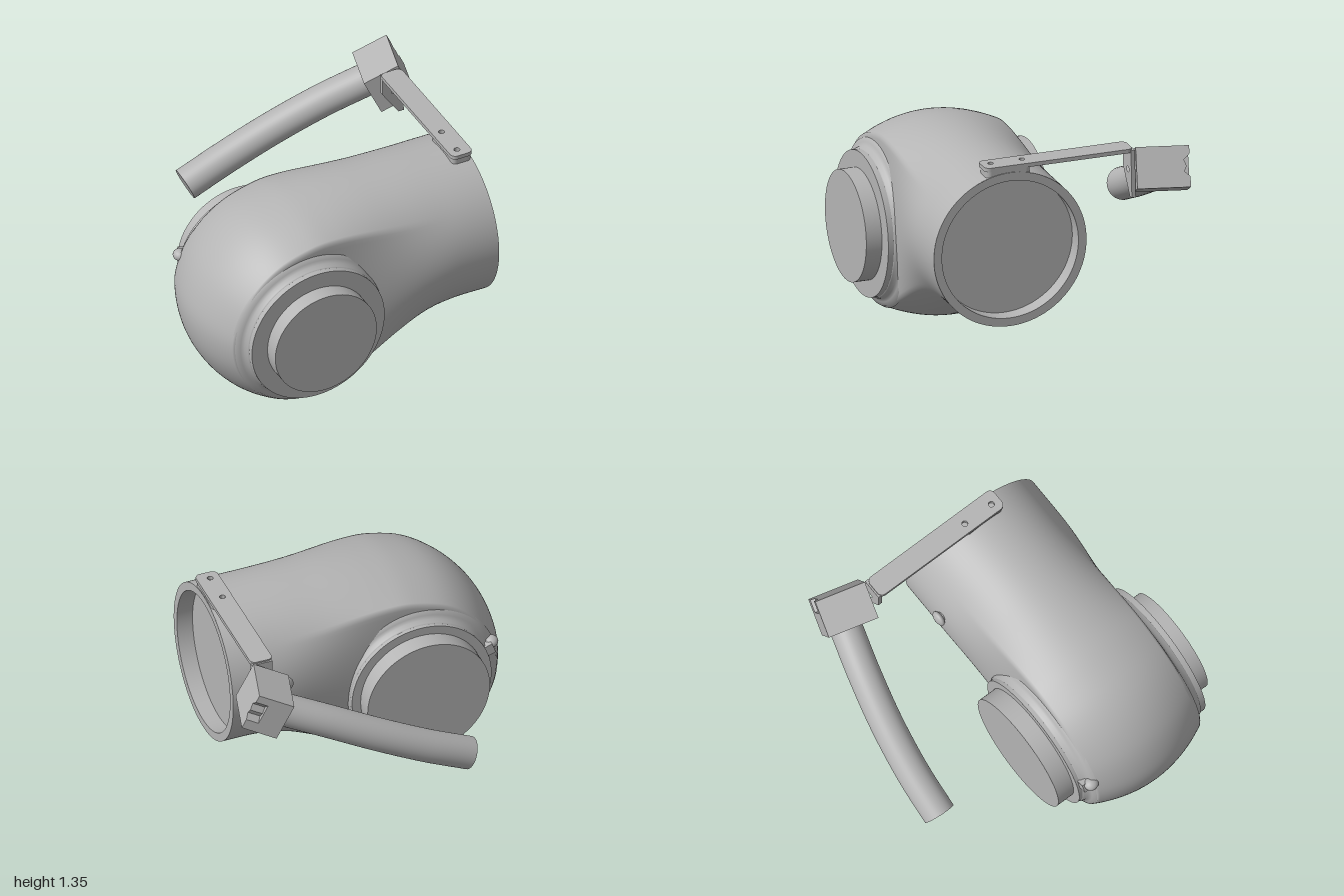
import * as THREE from 'three';
import { mergeVertices } from 'three/addons/utils/BufferGeometryUtils.js';

const MID_Z = 0.355, HEAD = [-0.39, 0.615];

export function createModel() {
  const group = new THREE.Group();
  const grey = new THREE.MeshStandardMaterial({ color: 0xb4b4b4 });
  grey.name = 'grey';
  const add = (name, geometry, x = 0, y = 0, z = 0, parent = group) => {
    const mesh = new THREE.Mesh(geometry, grey);
    mesh.name = name;
    mesh.position.set(x, y, z);
    parent.add(mesh);
    return mesh;
  };

  add('elbowBody', bodyGeometry());

  // Open pipe mouth: rim, inner wall and recessed cover
  const mouth = new THREE.Group();
  mouth.name = 'pipeMouth';
  mouth.position.set(0.82, 0.8125, MID_Z);
  mouth.rotation.y = Math.PI / 2;
  group.add(mouth);
  add('mouthRim', new THREE.RingGeometry(0.435, 0.487, 96), 0, 0, 0, mouth);
  const wall = new THREE.LatheGeometry([new THREE.Vector2(0.435, 0), new THREE.Vector2(0.435, -0.1)], 96);
  wall.rotateX(Math.PI / 2);
  add('mouthWall', wall, 0, 0, 0, mouth);
  add('mouthCover', new THREE.CircleGeometry(0.435, 96), 0, 0, -0.1, mouth);

  // Stepped side ports, front and back
  for (const [side, hubRadius, hubEnd, collarEnd] of [['front', 0.34, 0.58, 0.48], ['back', 0.39, 0.585, 0.47]]) {
    const port = new THREE.Group();
    port.name = side + 'Port';
    port.position.set(HEAD[0], HEAD[1], MID_Z);
    port.rotation.x = side === 'front' ? Math.PI / 2 : -Math.PI / 2;
    group.add(port);
    const flare = [[0.52, 0.37], [0.505, 0.395], [0.48, 0.402], [0.46, 0.415], [0.452, 0.44], [0.445, 0.445]];
    add('flare', new THREE.LatheGeometry(flare.map(p => new THREE.Vector2(...p)), 96), 0, 0, 0, port);
    add('collar', new THREE.CylinderGeometry(0.445, 0.445, 0.18, 96), 0, collarEnd - 0.09, 0, port);
    add('hub', new THREE.CylinderGeometry(hubRadius, hubRadius, 0.16, 96), 0, hubEnd - 0.08, 0, port);
  }

  // Bracket strap with two bolt holes, on a raised pad
  const strap = roundedRect(0.68, -0.43, 0.82, 0.51, 0.035);
  for (const z of [0.25, 0.45]) {
    strap.holes.push(new THREE.Path().absarc(0.74, z, 0.018, 0, Math.PI * 2, true));
  }
  const lay = (shape, depth) =>
    new THREE.ExtrudeGeometry(shape, { depth, bevelEnabled: false, curveSegments: 10 }).rotateX(Math.PI / 2);
  add('bracketStrap', lay(strap, 0.025), 0, 1.345, 0);
  add('bracketPad', lay(roundedRect(0.685, 0.22, 0.815, 0.5, 0.03), 0.06), 0, 1.32, 0);

  // Bent-down flange of the bracket
  const flange = new THREE.Shape([[0.69, 1.335], [0.82, 1.335], [0.835, 1.04], [0.8, 1.04], [0.69, 1.2]]
    .map(p => new THREE.Vector2(...p)));
  flange.holes.push(new THREE.Path().absarc(0.77, 1.2, 0.018, 0, Math.PI * 2, true));
  add('bracketFlange', new THREE.ExtrudeGeometry(flange, { depth: 0.025, bevelEnabled: false }), 0, 0, -0.44);

  // Tilted clamp block with a notched outer jaw
  const clamp = new THREE.Group();
  clamp.name = 'clamp';
  clamp.position.set(0.805, 1.188, -0.615);
  clamp.rotation.set(0, -0.26, 0.44);
  group.add(clamp);
  add('clampBlock', new THREE.BoxGeometry(0.15, 0.25, 0.32), -0.04, 0, 0, clamp);
  const jaw = new THREE.Shape([
    [-0.16, -0.125], [0.16, -0.125], [0.16, -0.06], [0.125, -0.03], [0.14, 0],
    [0.125, 0.04], [0.16, 0.075], [0.16, 0.125], [-0.16, 0.125],
  ].map(p => new THREE.Vector2(...p)));
  const jawGeometry = new THREE.ExtrudeGeometry(jaw, { depth: 0.08, bevelEnabled: false }).rotateY(Math.PI / 2);
  add('clampJaw', jawGeometry, 0.035, 0, 0, clamp);

  // Curved handle with flat end
  const path = new THREE.CatmullRomCurve3([
    [0.72, 1.145, -0.665], [0.45, 1.03, -0.735], [0.15, 0.89, -0.795], [-0.15, 0.75, -0.83], [-0.41, 0.635, -0.84],
  ].map(p => new THREE.Vector3(...p)));
  add('handle', new THREE.TubeGeometry(path, 48, 0.1, 40));
  const end = path.getPoint(1);
  const cap = add('handleEnd', new THREE.CircleGeometry(0.1, 40), end.x, end.y, end.z);
  cap.lookAt(end.clone().add(path.getTangent(1)));

  // Small fittings on the back: rounded screw and latch
  const screw = add('screwHead', new THREE.SphereGeometry(0.05, 24, 16), 0.49, 0.9, -0.142);
  screw.scale.z = 0.5;
  add('screwShank', new THREE.CylinderGeometry(0.03, 0.03, 0.06, 20).rotateX(Math.PI / 2), 0.49, 0.9, -0.11);
  const latch = add('latch', new THREE.BoxGeometry(0.1, 0.07, 0.08), -0.81, 0.76, -0.06);
  latch.rotation.z = -0.35;
  const latchTip = add('latchTip', new THREE.SphereGeometry(0.035, 20, 12), -0.86, 0.79, -0.045);
  latchTip.scale.set(1.2, 1, 1.3);

  return group;
}

function roundedRect(x0, y0, x1, y1, r) {
  const s = new THREE.Shape();
  s.absarc(x1 - r, y0 + r, r, -Math.PI / 2, 0);
  s.absarc(x1 - r, y1 - r, r, 0, Math.PI / 2);
  s.absarc(x0 + r, y1 - r, r, Math.PI / 2, Math.PI);
  s.absarc(x0 + r, y0 + r, r, Math.PI, Math.PI * 1.5);
  return s;
}

// Side outline swept through the depth: a round pipe blending into a barrel-edged head
function bodyGeometry() {
  const xs = [0.82, 0.6, 0.4, 0.2, 0, -0.2, -0.39];
  const top = [1.3, 1.303, 1.306, 1.306, 1.305, 1.295, 1.27];
  const low = [0.325, 0.325, 0.29, 0.21, 0.12, 0.04, 0.005];
  const arc = [[-0.6, 1.205], [-0.76, 1.1], [-0.89, 0.95], [-0.97, 0.78], [-1, 0.615],
    [-0.97, 0.43], [-0.88, 0.255], [-0.75, 0.12], [-0.58, 0.035]];
  const mid = xs.map((x, i) => [x, (top[i] + low[i]) / 2]);
  const curve = pts => new THREE.CatmullRomCurve3(pts.map(p => new THREE.Vector3(p[0], p[1], 0)), false, 'catmullrom', 0.5);
  const outline = curve([...xs.map((x, i) => [x, top[i]]), ...arc, ...xs.map((x, i) => [x, low[i]]).reverse()]);
  const spine = curve([...mid, ...arc.map(() => mid[6]), ...mid.slice().reverse()]);

  const cols = 22 * 6, rows = 72, position = [], index = [];
  const corner = 0.8; // share of the half depth where the head's flat side begins
  for (let i = 0; i <= cols; i++) {
    const o = outline.getPoint(i / cols), c = spine.getPoint(i / cols);
    const h = THREE.MathUtils.smoothstep(c.x, -0.39, 0.55);
    for (let j = 0; j <= rows; j++) {
      const a = (j / rows - 0.5) * Math.PI, s = Math.sin(a), k = Math.max(0, Math.cos(a));
      const d = THREE.MathUtils.clamp(s / corner, -1, 1);
      const headScale = Math.abs(s) < corner ? 1 - 0.16 * d * d : 0.84 * k / 0.6;
      const f = THREE.MathUtils.lerp(headScale, k, h);
      const z = THREE.MathUtils.lerp(0.39 * d, 0.485 * s, h);
      position.push(c.x + (o.x - c.x) * f, c.y + (o.y - c.y) * f, MID_Z + z);
      if (i < cols && j < rows) {
        const p = i * (rows + 1) + j, q = p + rows + 1;
        index.push(p, q, p + 1, q, q + 1, p + 1);
      }
    }
  }
  let g = new THREE.BufferGeometry();
  g.setAttribute('position', new THREE.Float32BufferAttribute(position, 3));
  g.setIndex(index);
  g = mergeVertices(g, 1e-5);
  g.computeVertexNormals();
  return g;
}
